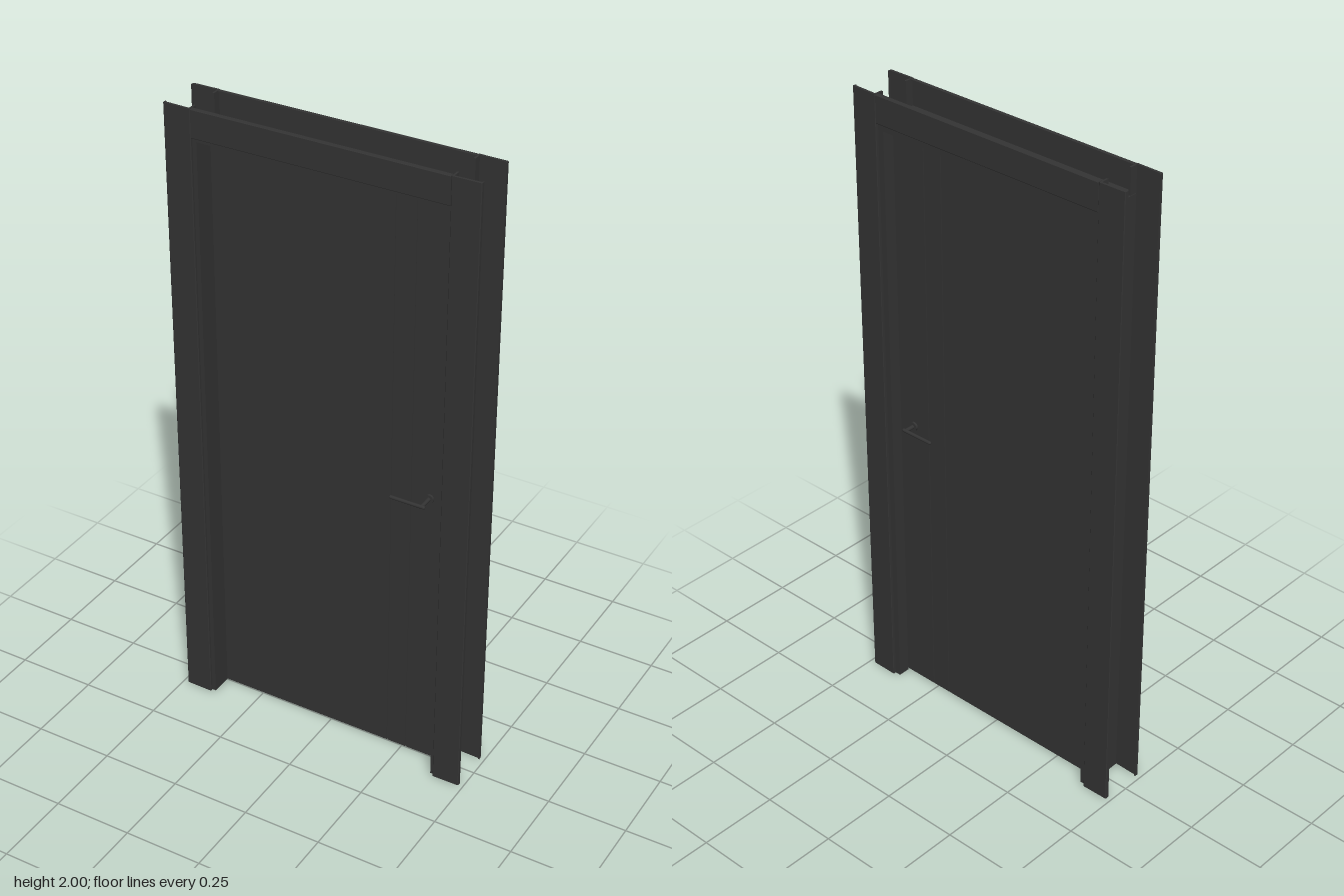
import * as THREE from 'three';

export function createModel() {
  const door = new THREE.Group();
  door.name = 'door';
  const charcoal = new THREE.MeshStandardMaterial({ color: 0x333333 });
  charcoal.name = 'charcoal';

  const add = (name, geometry, parent = door) => {
    const mesh = new THREE.Mesh(geometry, charcoal);
    mesh.name = name;
    parent.add(mesh);
    return mesh;
  };
  // Box given by its limits on each axis
  const box = (name, x0, x1, y0, y1, z0, z1) => {
    const mesh = add(name, new THREE.BoxGeometry(x1 - x0, y1 - y0, z1 - z0));
    mesh.position.set((x0 + x1) / 2, (y0 + y1) / 2, (z0 + z1) / 2);
    return mesh;
  };
  const shapeOf = (points) => new THREE.Shape(points.map(([x, y]) => new THREE.Vector2(x, y)));
  const extrude = (points, depth) =>
    new THREE.ExtrudeGeometry(shapeOf(points), { depth, bevelEnabled: false });

  // Casing cross-section: face plate, outer lip and inner tongue (x, z)
  const casing = [
    [0.398, 0.045], [0.404, 0.045], [0.404, 0.069], [0.481, 0.067],
    [0.481, 0.063], [0.485, 0.063], [0.485, 0.073], [0.483, 0.075], [0.400, 0.076], [0.398, 0.074],
  ];
  // Head casing cross-section (z, y)
  const headCasing = [
    [0.045, 1.914], [0.075, 1.914], [0.076, 1.916], [0.076, 1.998], [0.074, 2.0],
    [0.063, 2.0], [0.063, 1.996], [0.069, 1.996], [0.069, 1.92], [0.045, 1.92],
  ];

  for (const face of [1, -1]) {
    const label = face > 0 ? 'front' : 'back';
    for (const side of [1, -1]) {
      const g = extrude(casing.map(([x, z]) => [x * side, -z * face]), 2);
      g.rotateX(-Math.PI / 2);
      add(label + (side > 0 ? 'LeftCasing' : 'RightCasing'), g);
    }
    const head = extrude(headCasing.map(([z, y]) => [-z * face, y]), 0.794);
    head.translate(0, 0, -0.397).rotateY(Math.PI / 2);
    add(label + 'HeadCasing', head);
  }

  // Jambs with the stop the leaf closes against
  for (const side of [1, -1]) {
    const label = side > 0 ? 'left' : 'right';
    const jamb = [
      [0.406, -0.067], [0.406, 0.067], [0.386, 0.067], [0.386, -0.029], [0.379, -0.029], [0.379, -0.067],
    ];
    const g = extrude(jamb.map(([x, z]) => [x * side, -z]), 1.919);
    g.rotateX(-Math.PI / 2);
    add(label + 'Jamb', g);
  }
  box('headJamb', -0.386, 0.386, 1.902, 1.919, -0.067, 0.067);
  box('headStop', -0.379, 0.379, 1.893, 1.902, -0.067, -0.029);

  // Leaf: a thin core carrying three panels split by narrow grooves
  box('leafCore', -0.381, 0.381, 0.007, 1.897, -0.025, 0.001);
  [[-0.382, 0.199], [0.202, 0.264], [0.267, 0.382]].forEach(([x0, x1], i) => {
    const name = ['mainPanel', 'insertStrip', 'lockPanel'][i];
    box(name, x0, x1, 0.006, 1.898, -0.028, 0.004);
  });

  // Lever handle on both faces
  for (const face of [1, -1]) {
    const handle = new THREE.Group();
    handle.name = face > 0 ? 'frontHandle' : 'backHandle';
    handle.position.set(0.325, 0.945, face > 0 ? 0.004 : -0.028);
    const out = face > 0 ? 0.05 : 0.038;
    const rose = add('rose', new THREE.CylinderGeometry(0.014, 0.014, 0.007, 24), handle);
    rose.rotation.x = Math.PI / 2;
    rose.position.z = face * 0.0035;
    const spindle = add('spindle', new THREE.CylinderGeometry(0.006, 0.006, out, 16), handle);
    spindle.rotation.x = Math.PI / 2;
    spindle.position.z = face * out / 2;
    const lever = add('lever', new THREE.CapsuleGeometry(0.0055, 0.105, 6, 16), handle);
    lever.rotation.z = Math.PI / 2;
    lever.position.set(-0.046, 0, face * out);
    door.add(handle);
  }
  return door;
}
